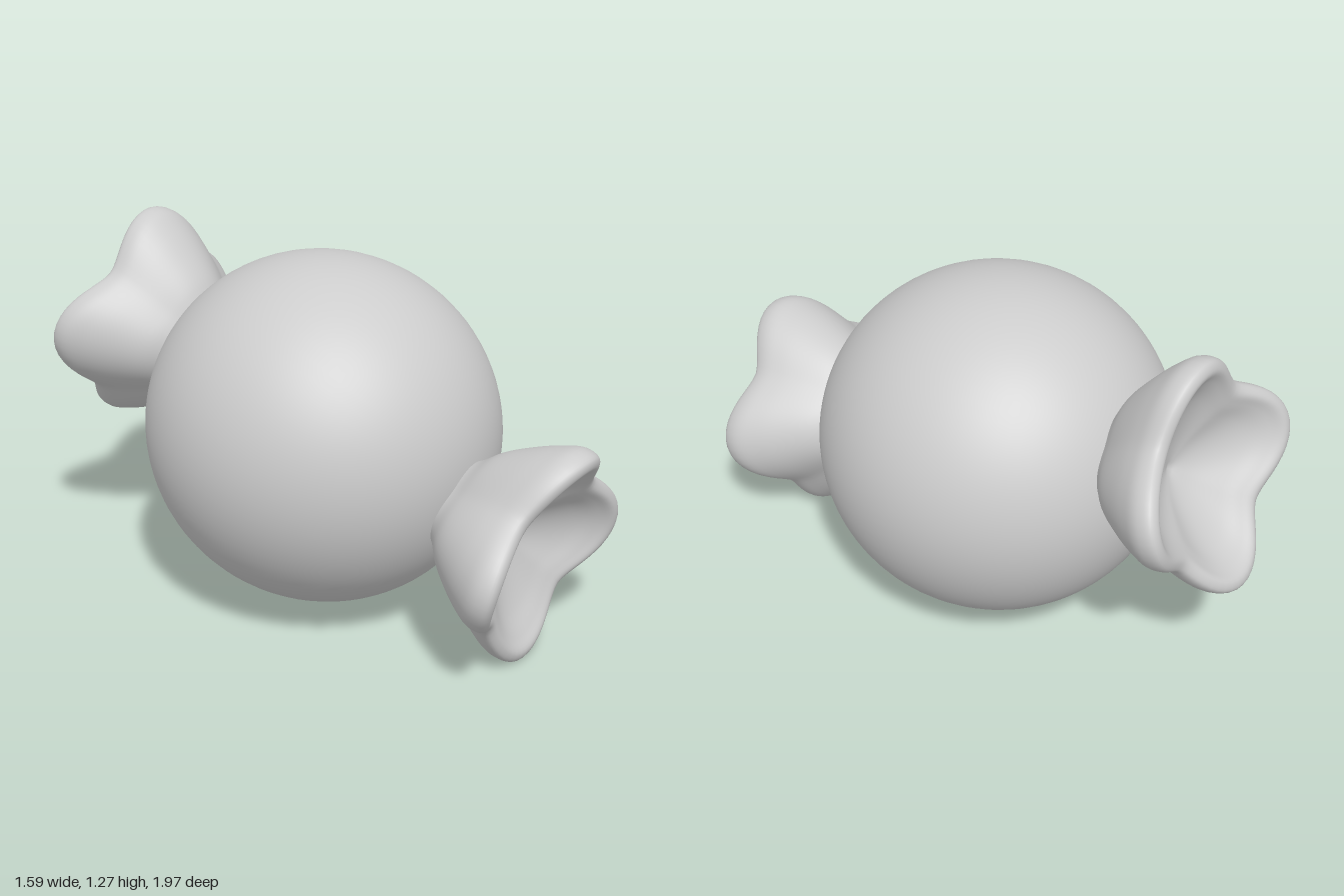
import * as THREE from 'three';
import { mergeVertices } from 'three/addons/utils/BufferGeometryUtils.js';

const SEGMENTS = 80;
const LOBES = 4;

// Smooth section through a few [radius, distance along the axis] points
function section(points) {
  const curve = new THREE.CatmullRomCurve3(points.map(([r, t]) => new THREE.Vector3(r, t, 0)));
  return Array.from({ length: 56 }, (_, i) => curve.getPoint(i / 55));
}

// Ruffled flare: blends between a section through a lobe and one through a fold.
// Each runs up the outside, around the rolled lip and down into the hollow.
function flareGeometry() {
  const lobe = section([
    [0.13, 0.50], [0.185, 0.58], [0.25, 0.64], [0.305, 0.71], [0.37, 0.81], [0.404, 0.885],
    [0.395, 0.938], [0.36, 0.945], [0.32, 0.91], [0.25, 0.85], [0.12, 0.775], [0, 0.725],
  ]);
  const fold = section([
    [0.12, 0.50], [0.165, 0.58], [0.215, 0.64], [0.262, 0.71], [0.297, 0.78], [0.315, 0.84],
    [0.308, 0.882], [0.275, 0.892], [0.235, 0.868], [0.18, 0.825], [0.09, 0.765], [0, 0.725],
  ]);
  const geometry = new THREE.LatheGeometry(lobe.map((p) => new THREE.Vector2(p.x, p.y)), SEGMENTS);
  const pos = geometry.attributes.position;
  const n = lobe.length;
  for (let k = 0; k < pos.count; k++) {
    const j = k % n;
    const angle = ((Math.floor(k / n) % SEGMENTS) / SEGMENTS) * Math.PI * 2;
    const blend = Math.pow((1 + Math.cos(LOBES * angle)) / 2, 0.85);
    const p = fold[j].clone().lerp(lobe[j], blend);
    const r = Math.max(p.x, 0);
    pos.setXYZ(k, r * Math.sin(angle), p.y, r * Math.cos(angle));
  }
  // Weld the seam so the shading stays smooth all the way round
  geometry.deleteAttribute('uv');
  geometry.deleteAttribute('normal');
  const welded = mergeVertices(geometry, 1e-4);
  welded.computeVertexNormals();
  return welded;
}

export function createModel() {
  const candy = new THREE.Group();
  candy.name = 'wrappedCandy';
  const grey = new THREE.MeshStandardMaterial({ color: 0xcccccc });
  grey.name = 'grey';

  // Tilted axis through the body and both twists
  const axis = new THREE.Vector3(0.487, -0.27, 0.85).normalize();
  const side = new THREE.Vector3(axis.z, 0, -axis.x).normalize();
  const alongAxis = (sign) => {
    const out = axis.clone().multiplyScalar(sign);
    return new THREE.Matrix4().makeBasis(side, out, side.clone().cross(out));
  };

  // Round body, very slightly longer along the axis
  const body = new THREE.Mesh(new THREE.SphereGeometry(0.597, 72, 48), grey);
  body.name = 'body';
  body.scale.y = 1.03;
  body.quaternion.setFromRotationMatrix(alongAxis(1));
  body.position.set(-0.016, 0.631, -0.009);
  candy.add(body);

  // Twisted wrapper ends, opposite each other
  const geometry = flareGeometry();
  for (const [name, sign] of [['frontTwist', 1], ['backTwist', -1]]) {
    const twist = new THREE.Mesh(geometry, grey);
    twist.name = name;
    twist.quaternion.setFromRotationMatrix(alongAxis(sign));
    twist.position.set(0, 0.631, 0);
    candy.add(twist);
  }
  return candy;
}
